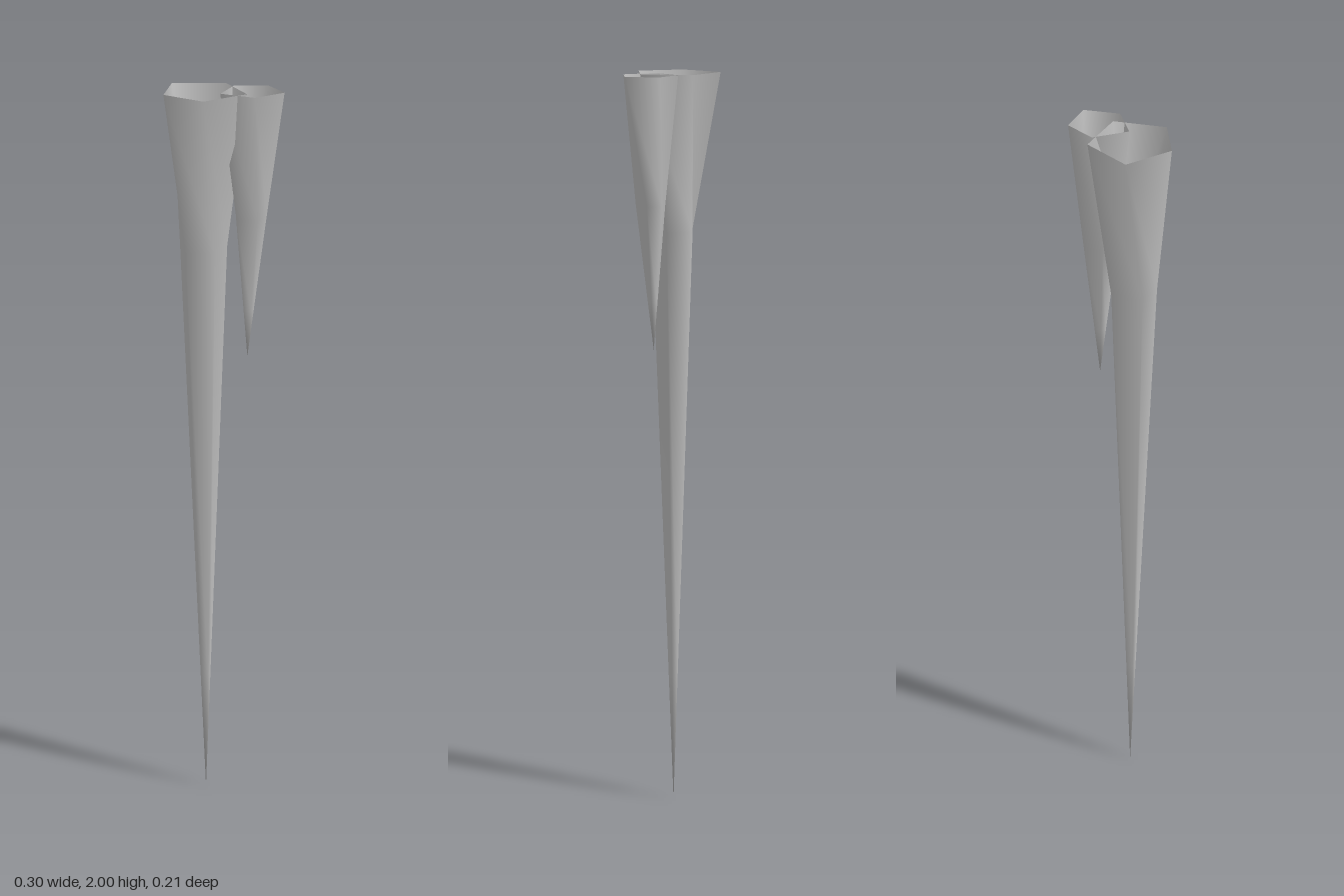
import * as THREE from 'three';

const stone = new THREE.MeshStandardMaterial({ color: 0xc0c0c0, side: THREE.DoubleSide });
stone.name = 'paleGrey';

// Hollow five-sided spike: twisted rim ring, waist ring, lower ring, tip
function spike(name, rim, waist, waistY, lowY, tip) {
  const n = rim.length;
  const t = (lowY - tip[1]) / (waistY - tip[1]);
  const low = waist.map(([x, z]) => [tip[0] + (x - tip[0]) * t, tip[2] + (z - tip[2]) * t]);
  const pos = [], index = [];
  [[rim, 2], [waist, waistY], [low, lowY]].forEach(([ring, y]) =>
    ring.forEach(([x, z]) => pos.push(x, y, z)));
  pos.push(...tip);
  for (let i = 0; i < n; i++) {
    const j = (i + 1) % n;
    for (const r of [0, n]) {
      const a = r + i, b = r + j, c = a + n, d = b + n;
      index.push(a, c, d, a, d, b);
    }
    index.push(2 * n + i, 3 * n, 2 * n + j);
  }
  const g = new THREE.BufferGeometry();
  g.setAttribute('position', new THREE.Float32BufferAttribute(pos, 3));
  g.setIndex(index);
  g.computeVertexNormals();
  const mesh = new THREE.Mesh(g, stone);
  mesh.name = name;
  return mesh;
}

export function createModel() {
  const group = new THREE.Group();
  group.name = 'hangingSpikes';
  group.add(
    spike('longSpike',
      [[-0.152, -0.07], [-0.137, 0.06], [-0.022, 0.104], [0.063, 0], [-0.02, -0.108]],
      [[-0.115, -0.005], [-0.085, 0.05], [-0.01, 0.04], [0.003, -0.035], [-0.06, -0.065]],
      1.59, 0.36, [-0.05, 0, -0.005]),
    spike('shortSpike',
      [[0.008, -0.083], [-0.003, 0.012], [0.092, 0.033], [0.15, -0.04], [0.091, -0.108]],
      [[0.022, -0.05], [0.037, 0], [0.09, -0.012], [0.1, -0.067], [0.063, -0.083]],
      1.67, 1.42, [0.056, 1.29, -0.043]));
  return group;
}
